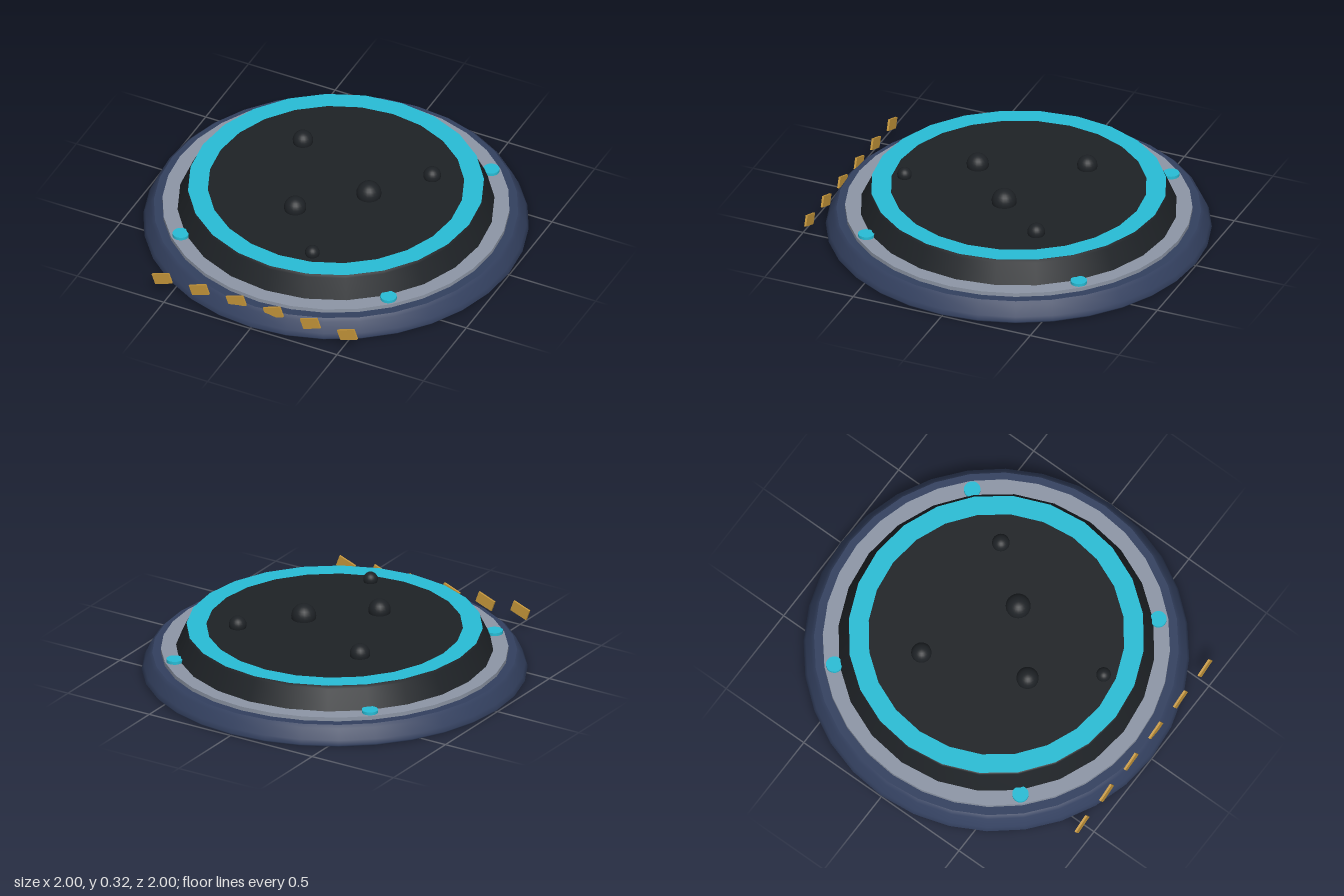
import * as THREE from 'three';

const paint = (color, side = THREE.FrontSide) => new THREE.MeshStandardMaterial({ color, side });

export function createModel() {
  const group = new THREE.Group();
  const navy = paint(0x33405f), black = paint(0x1e2226), grey = paint(0x8d96a6);
  const cyan = paint(0x28bdd6), gold = paint(0xc4953a);
  const glow = paint(0x28bdd6, THREE.DoubleSide);

  function add(name, geometry, material, x = 0, y = 0, z = 0) {
    const mesh = new THREE.Mesh(geometry, material);
    mesh.name = name;
    mesh.position.set(x, y, z);
    group.add(mesh);
    return mesh;
  }

  // Round tier: sloped, slightly bevelled side closed by flat discs
  function tier(name, profile, segments, material) {
    const points = profile.map(([r, y]) => new THREE.Vector2(r, y));
    add(name, new THREE.LatheGeometry(points, segments), material);
    const [r0, y0] = profile[0], [r1, y1] = profile[profile.length - 1];
    add(name + 'Bottom', new THREE.CircleGeometry(r0, segments), material, 0, y0).rotation.set(Math.PI / 2, 0, Math.PI / 2);
    add(name + 'Top', new THREE.CircleGeometry(r1, segments), material, 0, y1).rotation.set(-Math.PI / 2, 0, Math.PI / 2);
  }

  tier('base', [[0.99, 0], [1, 0.012], [0.988, 0.035], [0.962, 0.09], [0.945, 0.105]], 32, navy);
  add('trimDisc', new THREE.CylinderGeometry(0.9, 0.9, 0.022, 32), grey, 0, 0.115, 0);
  tier('platform', [[0.825, 0.12], [0.772, 0.23], [0.765, 0.24], [0.75, 0.245]], 24, black);

  // Flat glowing ring on the rim of the platform
  add('glowRing', new THREE.RingGeometry(0.665, 0.768, 24), glow, 0, 0.248, 0)
    .rotation.set(-Math.PI / 2, 0, Math.PI / 2);

  // Four round lights on the trim
  for (const x of [-0.6, 0.6]) {
    for (const z of [-0.6, 0.6]) {
      add('light', new THREE.CylinderGeometry(0.043, 0.043, 0.026, 16), cyan, x, 0.129, z);
    }
  }

  // Half-sunk pebbles on the platform: x, z, radius
  const pebbles = [[-0.315, -0.25, 0.053], [0.417, -0.28, 0.046], [0.19, 0, 0.065], [-0.1, 0.275, 0.058], [0.15, 0.58, 0.038]];
  for (const [x, z, r] of pebbles) {
    add('pebble', new THREE.SphereGeometry(r, 20, 14), black, x, 0.26, z);
  }

  // Row of tilted warning plates along the front
  for (let i = 0; i < 6; i++) {
    add('warningPlate', new THREE.BoxGeometry(0.103, 0.06, 0.011), gold, (i - 2.5) * 0.214, 0.108, 0.948)
      .rotation.z = 0.35;
  }

  return group;
}
